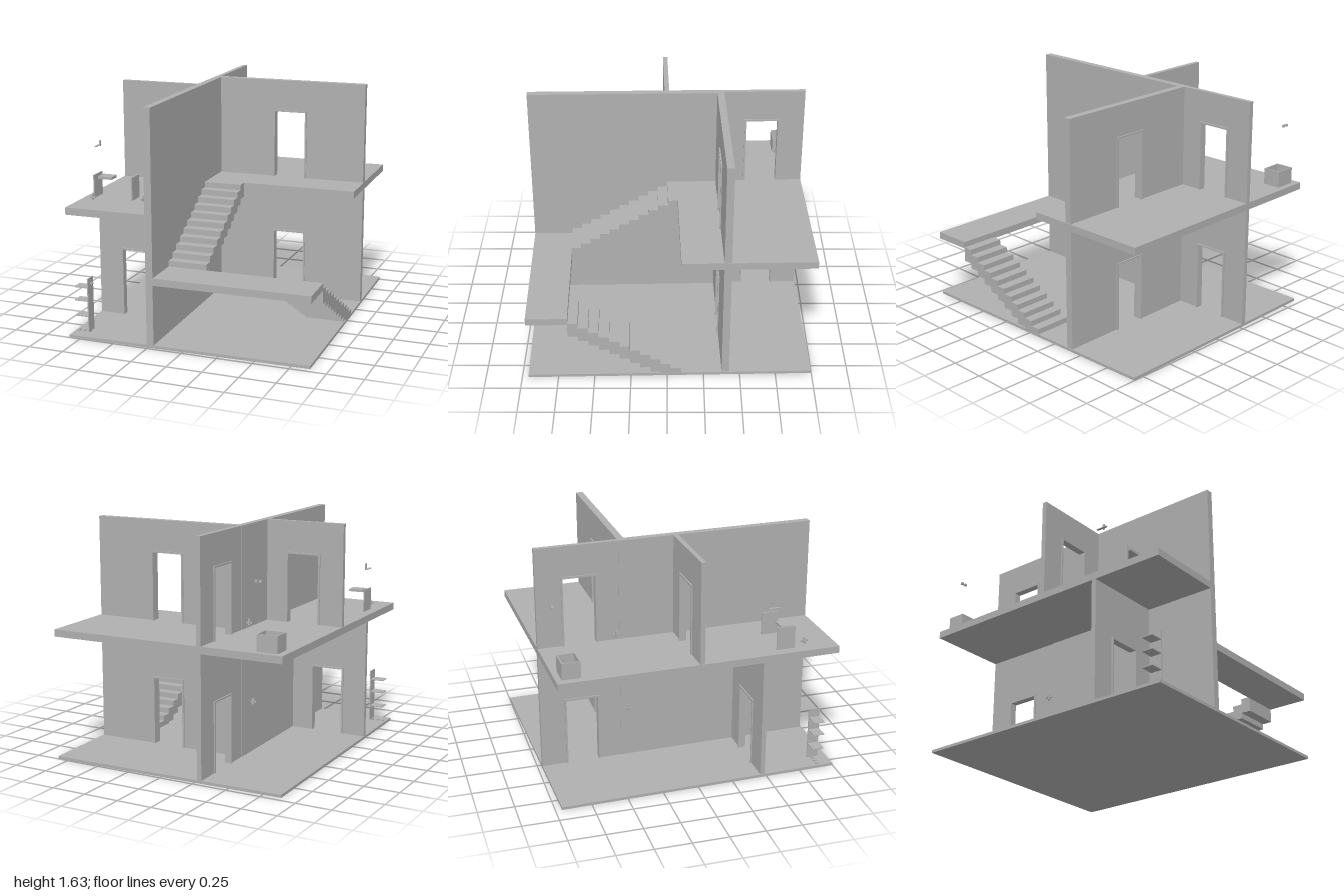
import * as THREE from 'three';

const FLOOR = [0.02, 0.92]; // walking level of each storey
const TOP = [0.87, 1.63]; // top of the walls of each storey
const DOOR_H = 0.495;
const RISE = 0.039, RUN = 0.07, STAIR_Z = -0.073;

export function createModel() {
  const model = new THREE.Group();
  model.name = 'twoStoreyInterior';
  const house = new THREE.Group();
  house.name = 'house';
  house.rotation.y = 0.025; // the whole plan is turned slightly
  model.add(house);

  const plaster = new THREE.MeshStandardMaterial({ color: 0xb0b0b0 });
  plaster.name = 'greyPlaster';

  const add = (name, geometry, parent = house) => {
    const mesh = new THREE.Mesh(geometry, plaster);
    mesh.name = name;
    parent.add(mesh);
    return mesh;
  };

  // Box given by its lower and upper limits on each axis
  const box = (name, x0, x1, y0, y1, z0, z1, parent) => {
    const mesh = add(name, new THREE.BoxGeometry(x1 - x0, y1 - y0, z1 - z0), parent);
    mesh.position.set((x0 + x1) / 2, (y0 + y1) / 2, (z0 + z1) / 2);
    return mesh;
  };

  // Extruded outline centred on its own plane
  const panel = (points, depth) => {
    const shape = new THREE.Shape(points.map(([x, y]) => new THREE.Vector2(x, y)));
    const geometry = new THREE.ExtrudeGeometry(shape, { depth, bevelEnabled: false });
    return geometry.translate(0, 0, -depth / 2);
  };

  // Wall with a doorway from d0 to d1 and a casing that stands slightly proud
  const doorWall = (name, a, b, d0, d1, height, thickness) => {
    const wall = new THREE.Group();
    wall.name = name;
    house.add(wall);
    add('wallPanel', panel([
      [a, 0], [d0, 0], [d0, DOOR_H], [d1, DOOR_H], [d1, 0], [b, 0], [b, height], [a, height],
    ], thickness), wall);
    const w = 0.013;
    add('doorCasing', panel([
      [d0, 0], [d0 + w, 0], [d0 + w, DOOR_H - w], [d1 - w, DOOR_H - w],
      [d1 - w, 0], [d1, 0], [d1, DOOR_H], [d0, DOOR_H],
    ], thickness + 0.018), wall);
    return wall;
  };

  // Floors and half-way landing
  box('groundFloor', -0.855, 0.855, 0, 0.02, -0.978, 0.978);
  box('upperFloorLeft', -0.855, -0.232, 0.87, 0.92, -0.978, 0.978);
  box('upperFloorBack', -0.232, 0.855, 0.87, 0.92, -0.978, STAIR_Z);
  box('stairLanding', -0.232, 0.855, 0.44, 0.49, 0.695, 0.978);

  // Walls, storey by storey
  FLOOR.forEach((y, i) => {
    const level = i ? 'upper' : 'lower';
    const h = TOP[i] - y;
    box(level + 'SpineWall', -0.282, -0.232, y, TOP[i], -0.405, 0.978);

    const back = doorWall(level + 'BackWall', -0.978, -0.405, -0.805, -0.555, h, 0.033);
    back.rotation.y = -Math.PI / 2;
    back.position.set(-0.262, y, 0);

    const right = doorWall(level + 'RightWall', -0.232, 0.852, 0.173, 0.425, h, 0.05);
    right.position.set(0, y, -0.38);

    const left = doorWall(level + 'LeftWall', -0.852, -0.282, -0.684, -0.43, h, 0.033);
    left.position.set(0, y, i ? -0.003 : 0.45);
  });

  // Two flights of block steps, stepped underneath as well
  for (let k = 0; k < 11; k++) {
    const z = STAIR_Z + k * RUN;
    const high = 0.92 - k * RISE;
    box('upperStep', -0.232, 0.042, Math.max(0.46, high - 0.105), high, z, z + RUN);
    const low = 0.02 + (k + 1) * RISE;
    box('lowerStep', 0.579, 0.855, Math.max(0.02, low - 0.105), low, z, z + RUN);
  }

  // Lower room: upright board with shelves
  const rack = new THREE.Group();
  rack.name = 'shelfRack';
  house.add(rack);
  box('rackBoard', -0.745, -0.737, 0.03, 0.41, 0.83, 0.91, rack);
  for (const y of [0.14, 0.25, 0.345]) {
    box('shelf', -0.84, -0.737, y - 0.003, y + 0.003, 0.83, 0.91, rack);
  }
  box('rackKnob', -0.75, -0.72, 0.365, 0.375, 0.86, 0.88, rack);
  for (const x of [-0.83, -0.79, -0.75]) box('rackFoot', x - 0.008, x + 0.008, 0.02, 0.03, 0.86, 0.88, rack);

  // Upper front room: two upright boards and a small table top
  box('leftBoard', -0.787, -0.779, 0.92, 1.08, 0.55, 0.68);
  box('rightBoard', -0.512, -0.502, 0.92, 1.08, 0.55, 0.67);
  box('tableTop', -0.754, -0.652, 1.055, 1.073, 0.59, 0.675);

  // Upper back room: open box with a thin rim
  const tub = new THREE.Group();
  tub.name = 'openBox';
  house.add(tub);
  const [x0, x1, z0, z1] = [-0.803, -0.655, -0.937, -0.81];
  box('boxBottom', x0, x1, 0.92, 0.93, z0, z1, tub);
  box('boxSide', x0, x0 + 0.008, 0.93, 1.035, z0, z1, tub);
  box('boxSide', x1 - 0.008, x1, 0.93, 1.035, z0, z1, tub);
  box('boxEnd', x0 + 0.008, x1 - 0.008, 0.93, 1.035, z0, z0 + 0.008, tub);
  box('boxEnd', x0 + 0.008, x1 - 0.008, 0.93, 1.035, z1 - 0.008, z1, tub);

  // Small cross-shaped fittings
  const fitting = (name, x, y, z, angle) => {
    const group = new THREE.Group();
    group.name = name;
    group.position.set(x, y, z);
    group.rotation.y = angle;
    house.add(group);
    box('fittingStem', -0.006, 0.006, -0.022, 0.022, -0.006, 0.006, group);
    box('fittingArm', -0.004, 0.004, -0.008, 0.006, -0.028, 0.028, group);
    box('fittingPlate', -0.02, 0.02, -0.01, 0.004, -0.004, 0.004, group);
  };
  fitting('leftFitting', -0.755, 0.95, 0.76, 0.2);
  fitting('rightFitting', -0.405, 0.95, 0.7, -0.2);
  fitting('upperWallFitting', -0.36, 0.99, -0.45, 0.2);
  fitting('lowerWallFitting', -0.352, 0.42, -0.37, 0.2);

  // Thin hanging fittings
  box('sideHook', -0.84, -0.824, 1.245, 1.25, 0.46, 0.54);
  box('sideHookStem', -0.816, -0.811, 1.245, 1.285, 0.49, 0.51);
  for (const x of [-0.69, -0.66]) box('backHook', x - 0.009, x + 0.009, 1.365, 1.38, -0.96, -0.945);

  return model;
}
